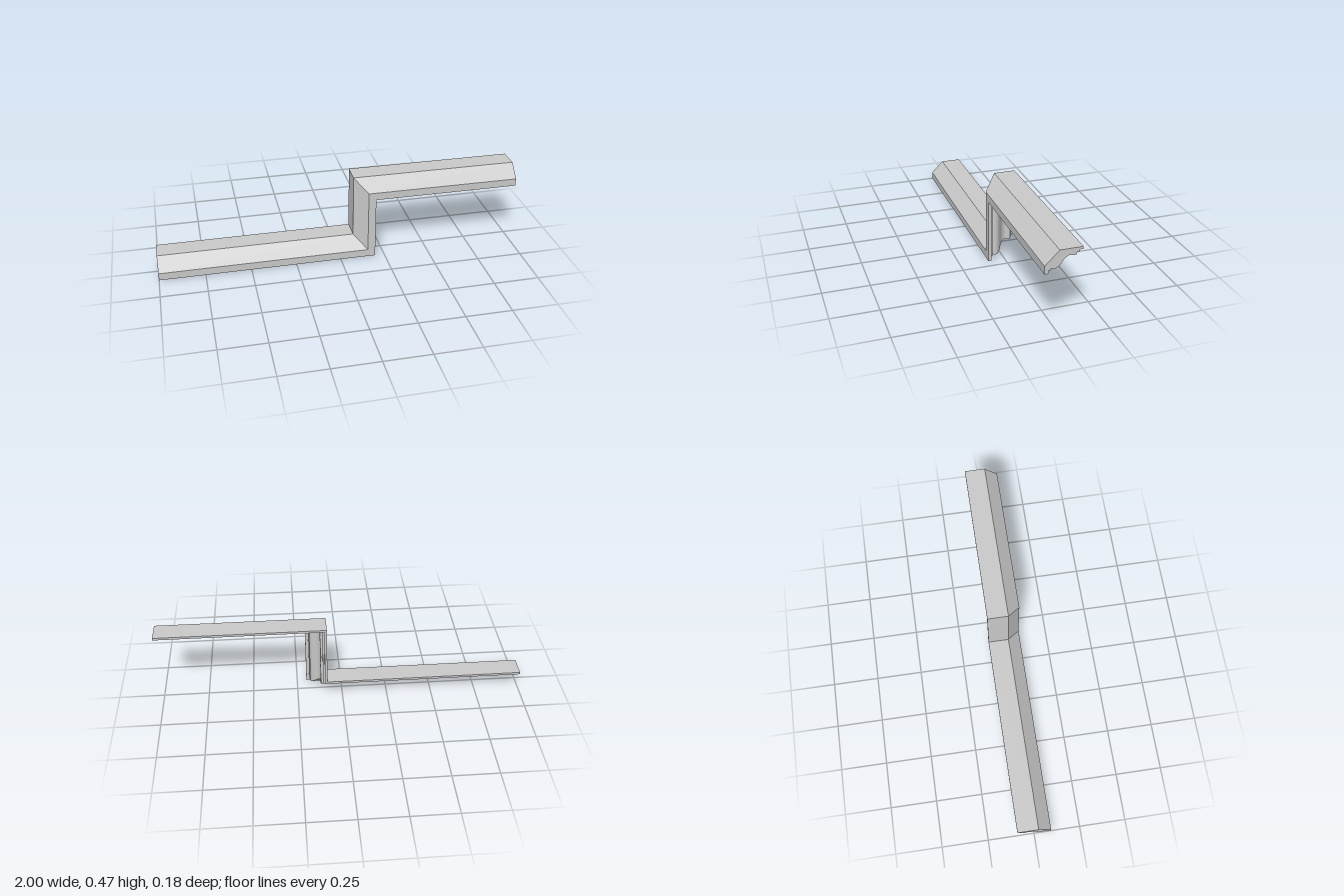
import * as THREE from 'three';
import { toCreasedNormals } from 'three/addons/utils/BufferGeometryUtils.js';

const RISE = 0.353;   // height difference between the two runs
const TURN = 0.197;   // x of the riser's underside

// Moulding section as (z, h): h is the distance from the underside, counter-clockwise
function mouldingProfile() {
  const v = (z, h) => new THREE.Vector2(z, h);
  const ogee = new THREE.SplineCurve([
    v(-0.062, 0.081), v(-0.058, 0.0765), v(-0.046, 0.0755), v(-0.031, 0.079), v(-0.016, 0.075),
    v(0, 0.062), v(0.013, 0.043), v(0.026, 0.029), v(0.041, 0.022), v(0.052, 0.023), v(0.062, 0.0265),
  ]).getPoints(40);
  return [
    v(-0.092, 0.112), v(-0.092, 0.099), v(-0.075, 0.099), v(-0.075, 0.089), v(-0.062, 0.089),
    ...ogee,
    v(0.062, 0.017), v(0.074, 0.017), v(0.074, 0), v(0.092, 0),
    v(0.092, 0.042), v(0.022, 0.112),
  ];
}

// The section at each station: left end, lower mitre, upper mitre, right end
const stations = [
  (z, h) => [-1, h, z],
  (z, h) => [TURN - h, h, z],
  (z, h) => [TURN - h, RISE + h, z],
  (z, h) => [1, RISE + h, z],
];

function loftGeometry(profile) {
  const n = profile.length;
  const positions = [];
  const index = [];
  for (const place of stations) {
    for (const p of profile) positions.push(...place(p.x, p.y));
  }
  for (let s = 0; s < stations.length - 1; s++) {
    for (let i = 0; i < n; i++) {
      const j = (i + 1) % n;
      const a = s * n, b = a + n;
      index.push(a + i, b + i, b + j, a + i, b + j, a + j);
    }
  }
  // End caps
  const last = (stations.length - 1) * n;
  for (const [a, b, c] of THREE.ShapeUtils.triangulateShape(profile, [])) {
    index.push(a, b, c, last + a, last + c, last + b);
  }
  const geometry = new THREE.BufferGeometry();
  geometry.setAttribute('position', new THREE.Float32BufferAttribute(positions, 3));
  geometry.setIndex(index);
  return toCreasedNormals(geometry, 0.5);
}

export function createModel() {
  const group = new THREE.Group();
  group.name = 'steppedMoulding';
  const material = new THREE.MeshStandardMaterial({ color: 0xcccccc });
  const moulding = new THREE.Mesh(loftGeometry(mouldingProfile()), material);
  moulding.name = 'mitredMoulding';
  group.add(moulding);
  return group;
}
